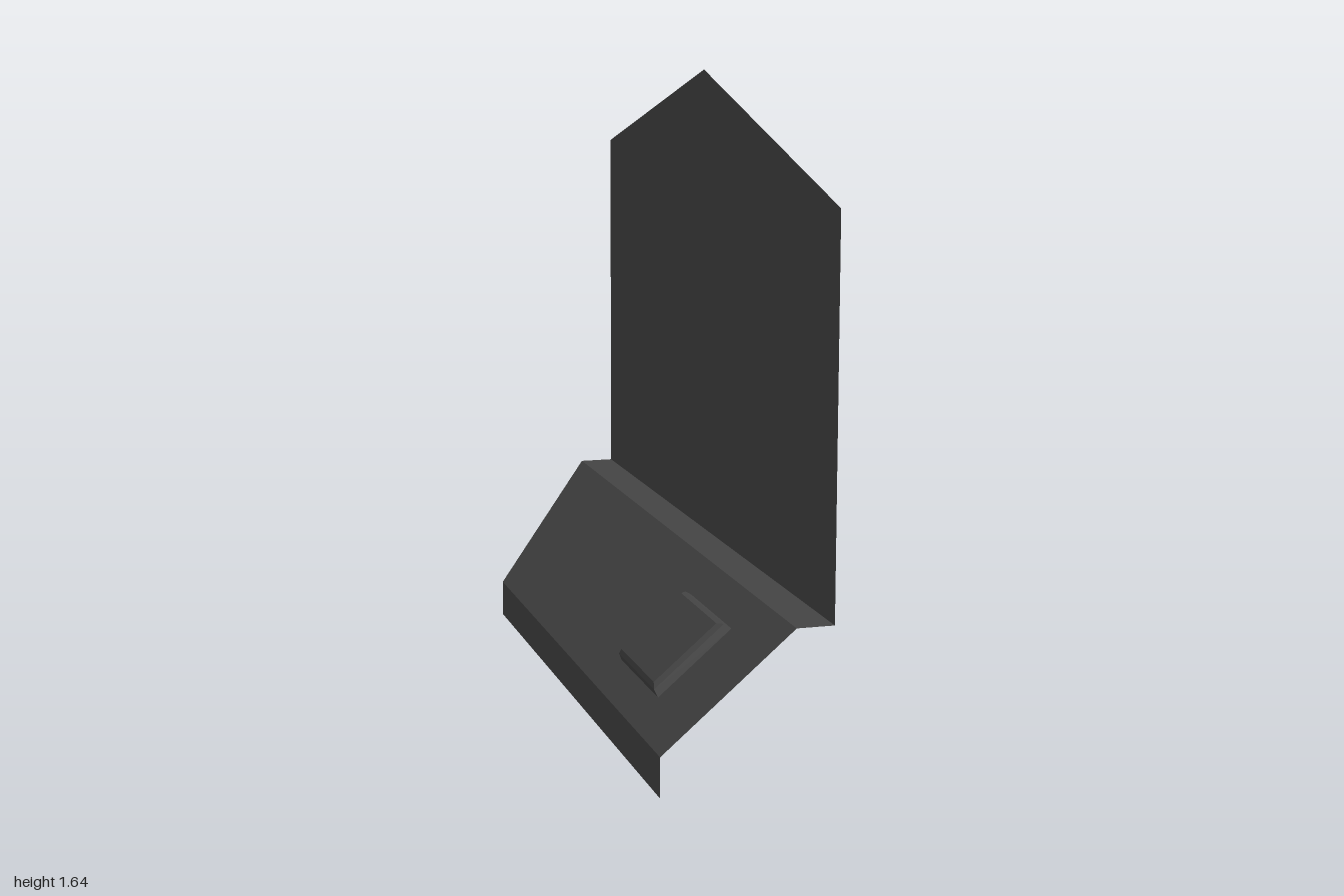
import * as THREE from 'three';

export function createModel() {
  const group = new THREE.Group();
  const metal = new THREE.MeshStandardMaterial({ color: 0x444444, side: THREE.DoubleSide });
  metal.name = 'dark sheet metal';

  const X = 0.214, FOLD = 0.119, SHELF_Y = 0.384, LIP_Y = 0.1;
  const CUT_Z = -0.665;

  // Sheet cut from a flat outline (u, z), with u running from origin along dir
  function addSheet(name, origin, dir, outline, hole) {
    const shape = new THREE.Shape(outline.map(p => new THREE.Vector2(...p)));
    if (hole) shape.holes.push(new THREE.Path(hole.map(p => new THREE.Vector2(...p))));
    const geometry = new THREE.ShapeGeometry(shape);
    const u = new THREE.Vector3(dir[0], dir[1], 0);
    const z = new THREE.Vector3(0, 0, 1);
    const n = new THREE.Vector3().crossVectors(u, z);
    geometry.applyMatrix4(new THREE.Matrix4().makeBasis(u, z, n).setPosition(origin[0], origin[1], 0));
    const mesh = new THREE.Mesh(geometry, metal);
    mesh.name = name;
    group.add(mesh);
  }

  // Upright panel with a shallow gabled top
  addSheet('wallPanel', [X, 0], [0, 1],
    [[SHELF_Y, 1], [1.367, 1], [1.642, -0.045], [1.39, -1], [SHELF_Y, -1]]);

  // Narrow flat shelf at the foot of the panel
  addSheet('shelf', [FOLD, SHELF_Y], [1, 0],
    [[0, 1], [X - FOLD, 1], [X - FOLD, -1], [0, -1]]);

  // Sloping sheet with a cut back corner and an opening for the pocket
  const length = Math.hypot(FOLD + X, SHELF_Y - LIP_Y);
  const dx = (FOLD + X) / length, dy = (SHELF_Y - LIP_Y) / length;
  const s0 = 0.093, s1 = 0.338, z0 = 0.411, z1 = 0.742;
  const rect = i => [[s0 + i, z0 + i], [s1 - i, z0 + i], [s1 - i, z1 - i], [s0 + i, z1 - i]];
  addSheet('slopePanel', [-X, LIP_Y], [dx, dy],
    [[0, 1], [length, 1], [length, -1], [0, CUT_Z]], rect(0));

  // Short vertical lip along the lower edge
  addSheet('lowerLip', [-X, 0], [0, 1],
    [[0, 1], [LIP_Y, 1], [LIP_Y, CUT_Z], [0, CUT_Z]]);

  // Embossed pocket: stacked rectangular rings [inset, height] closed by a flat top
  const rings = [[0, 0], [0.006, 0.02], [0.018, 0.03]].map(([inset, h]) =>
    rect(inset).map(([s, z]) => [-X + s * dx - h * dy, LIP_Y + s * dy + h * dx, z]));
  const positions = [];
  const quad = (a, b, c, d) => positions.push(...a, ...c, ...b, ...a, ...d, ...c);
  for (let r = 0; r < rings.length - 1; r++) {
    for (let i = 0; i < 4; i++) {
      const j = (i + 1) % 4;
      quad(rings[r][i], rings[r][j], rings[r + 1][j], rings[r + 1][i]);
    }
  }
  quad(...rings[rings.length - 1]);
  const pocketGeometry = new THREE.BufferGeometry();
  pocketGeometry.setAttribute('position', new THREE.Float32BufferAttribute(positions, 3));
  pocketGeometry.computeVertexNormals();
  const pocket = new THREE.Mesh(pocketGeometry, metal);
  pocket.name = 'embossedPocket';
  group.add(pocket);

  return group;
}
